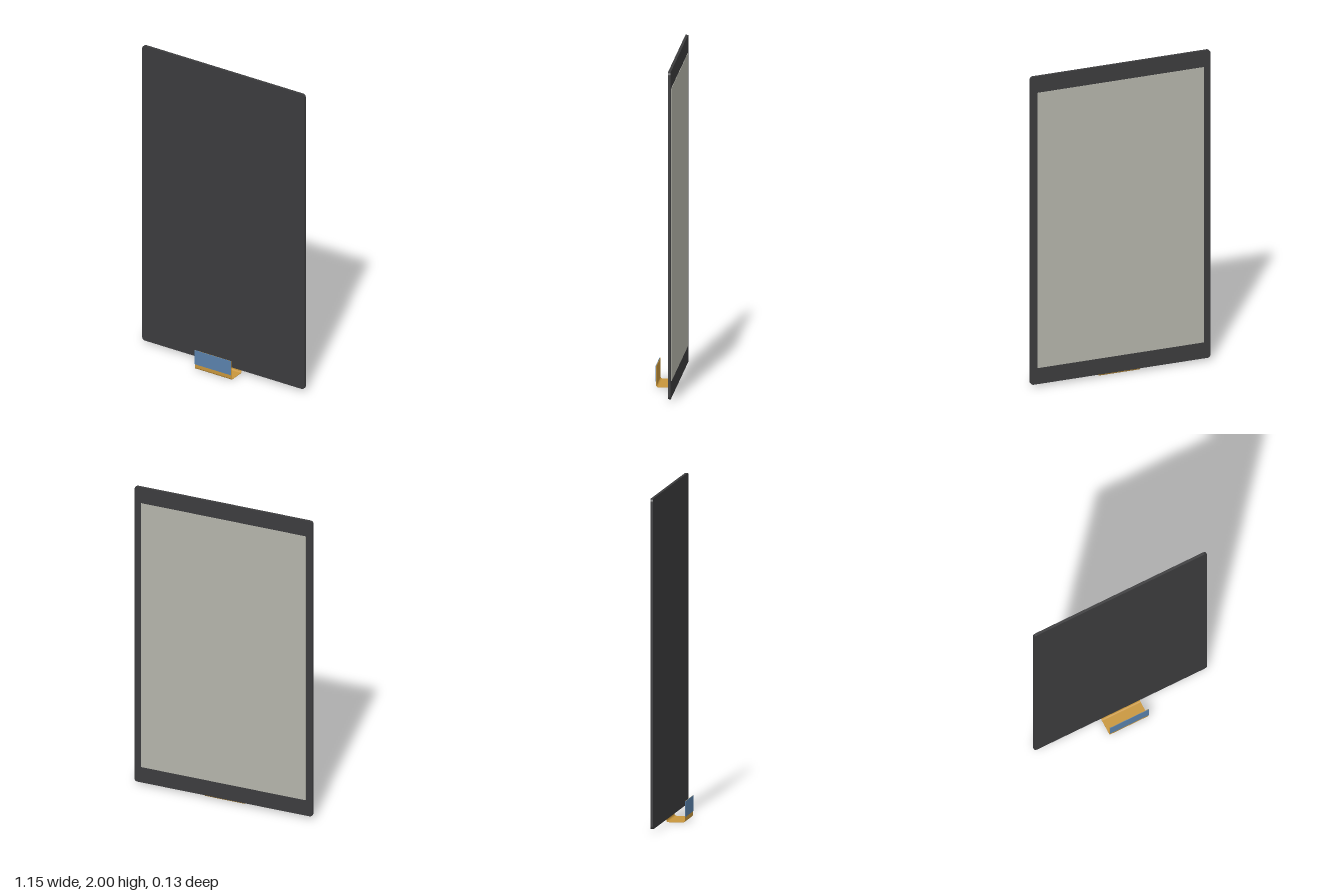
import * as THREE from 'three';

const mat = (color) => new THREE.MeshStandardMaterial({ color });

function roundedRect(w, h, r) {
  const s = new THREE.Shape(), x = w / 2, y = h / 2;
  s.absarc(x - r, y - r, r, 0, Math.PI / 2);
  s.absarc(-x + r, y - r, r, Math.PI / 2, Math.PI);
  s.absarc(-x + r, -y + r, r, Math.PI, Math.PI * 1.5);
  s.absarc(x - r, -y + r, r, Math.PI * 1.5, Math.PI * 2);
  s.closePath();
  return s;
}

// Thin strip of given thickness following a (z, y) centre line, extruded along x
function ribbon(points, thickness, width) {
  const side = (sign) => points.map((p, i) => {
    const a = points[Math.max(i - 1, 0)], b = points[Math.min(i + 1, points.length - 1)];
    const t = b.clone().sub(a).normalize();
    return new THREE.Vector2(p.x - t.y * sign * thickness / 2, p.y + t.x * sign * thickness / 2);
  });
  const shape = new THREE.Shape([...side(-1), ...side(1).reverse()]);
  const g = new THREE.ExtrudeGeometry(shape, { depth: width, bevelEnabled: false });
  g.translate(0, 0, -width / 2);
  g.rotateY(-Math.PI / 2); // shape x -> z, depth -> -x
  return g;
}

export function createModel() {
  const model = new THREE.Group();
  const add = (name, geometry, color, x, y, z) => {
    const m = new THREE.Mesh(geometry, mat(color));
    m.name = name;
    m.position.set(x, y, z);
    model.add(m);
    return m;
  };

  // Flat panel with small rounded corners
  const panel = new THREE.ExtrudeGeometry(roundedRect(1.152, 1.983, 0.02),
    { depth: 0.016, bevelEnabled: false, curveSegments: 8 });
  add('panel', panel, 0x3c3c3e, 0, 1.0085, -0.0645);

  // Display area, slightly raised on the back face
  add('activeArea', new THREE.BoxGeometry(1.064, 1.774, 0.004), 0xb4b4aa, 0, 1.008, -0.0645);

  // Flexible cable: leaves the panel edge, runs forward and folds up
  const path = [new THREE.Vector2(-0.05, 0.019)];
  const bend = (cz, cy, r, from, to) => {
    for (let i = 0; i <= 6; i++) {
      const a = from + (to - from) * i / 6;
      path.push(new THREE.Vector2(cz + r * Math.cos(a), cy + r * Math.sin(a)));
    }
  };
  bend(-0.037, 0.0145, 0.013, Math.PI, Math.PI * 1.5);
  bend(0.049, 0.0145, 0.013, Math.PI * 1.5, Math.PI * 2);
  path.push(new THREE.Vector2(0.062, 0.128));
  add('flexCable', ribbon(path, 0.003, 0.258), 0xc8963c, 0, 0, 0);

  // Stiffener at the cable's free end
  add('cableStiffener', new THREE.BoxGeometry(0.26, 0.094, 0.003), 0x5a82ac, 0, 0.082, 0.065);

  return model;
}
